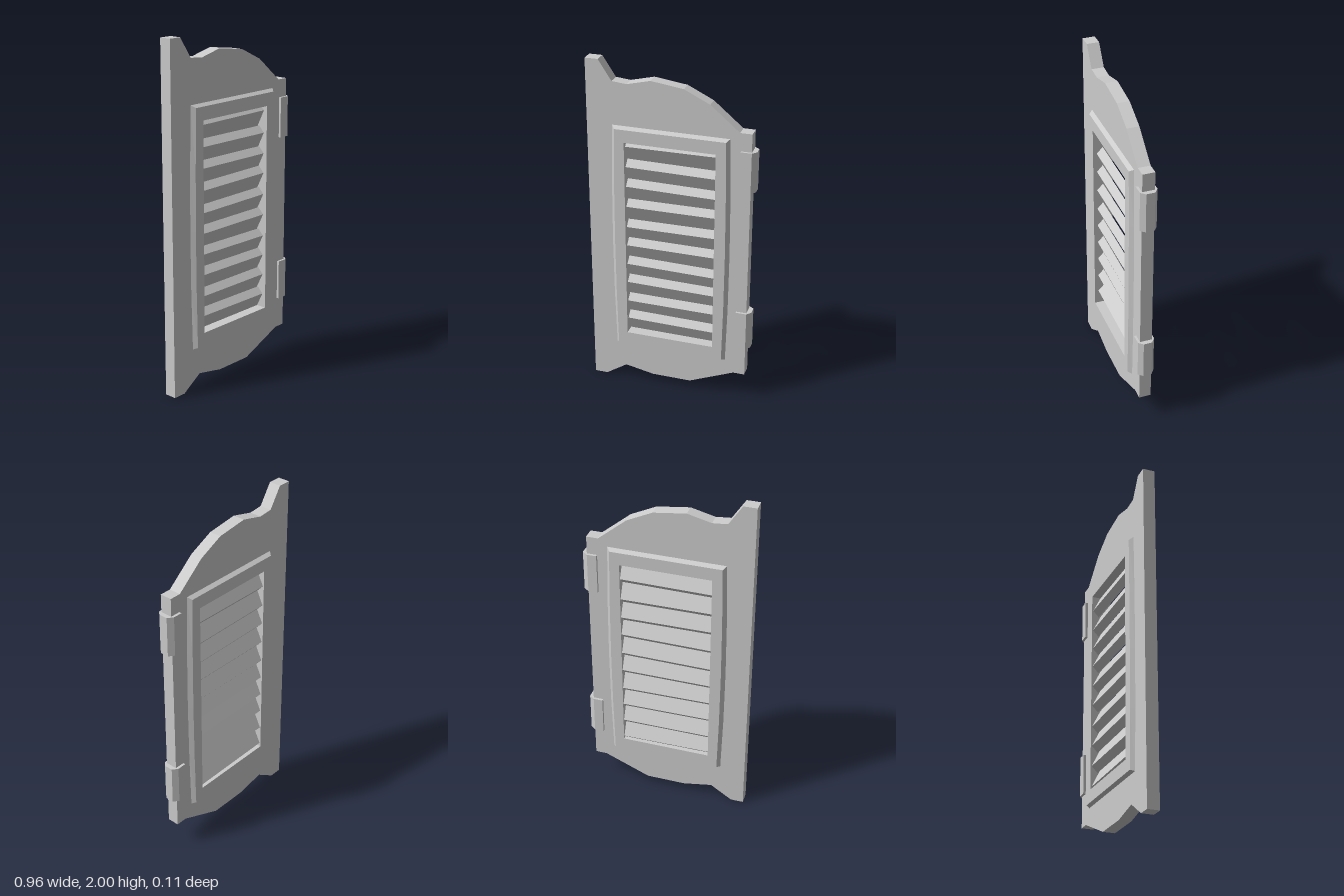
import * as THREE from 'three';

const material = new THREE.MeshStandardMaterial({ color: 0xcccccc, flatShading: true });

const toShape = (pts) => new THREE.Shape(pts.map(([x, y]) => new THREE.Vector2(x, y)));

function addMesh(parent, geometry, name) {
  const mesh = new THREE.Mesh(geometry, material);
  mesh.name = name;
  parent.add(mesh);
  return mesh;
}

const extrude = (shape, depth) => new THREE.ExtrudeGeometry(shape, { depth, bevelEnabled: false });

// Counter-clockwise loop whose long sides bow outwards by `bow`
function bowedLoop(halfWidth, bottom, top, bow, z) {
  const steps = 4;
  const loop = [];
  for (const side of [1, -1]) {
    for (let i = 0; i <= steps; i++) {
      const t = i / steps;
      const y = side > 0 ? bottom + (top - bottom) * t : top + (bottom - top) * t;
      loop.push([side * (halfWidth + bow * 4 * t * (1 - t)), y, z]);
    }
  }
  return loop;
}

// Skins a closed chain of loops into a ring-shaped solid
function ringGeometry(loops) {
  const n = loops[0].length;
  const index = [];
  loops.forEach((_, l) => {
    const next = (l + 1) % loops.length;
    for (let i = 0; i < n; i++) {
      const j = (i + 1) % n;
      const a = l * n + i, b = l * n + j, c = next * n + j, d = next * n + i;
      index.push(a, b, c, a, c, d);
    }
  });
  const geometry = new THREE.BufferGeometry();
  geometry.setAttribute('position', new THREE.Float32BufferAttribute(loops.flat(2), 3));
  geometry.setIndex(index);
  const flat = geometry.toNonIndexed();
  flat.computeVertexNormals();
  return flat;
}

export function createModel() {
  const door = new THREE.Group();
  door.name = 'saloonDoor';

  // Panel with a scalloped top and bottom and a window for the louvres
  const panel = toShape([
    [-0.48, 0], [-0.405, 0], [-0.28, 0.083], [-0.11, 0.05], [0.12, 0.05], [0.385, 0.163],
    [0.452, 0.163], [0.452, 1.677], [0.385, 1.677], [0.22, 1.815], [0.075, 1.885],
    [-0.11, 1.91], [-0.245, 1.877], [-0.33, 1.885], [-0.405, 2], [-0.48, 2],
  ]);
  panel.holes.push(toShape([[-0.28, 0.31], [-0.28, 1.565], [0.28, 1.565], [0.28, 0.31]]));
  addMesh(door, extrude(panel, 0.07), 'panel').position.z = -0.035;

  // Bevelled frame standing proud on both faces
  const frame = ringGeometry([
    bowedLoop(0.333, 0.245, 1.635, 0.012, -0.035),
    bowedLoop(0.333, 0.245, 1.635, 0.012, 0.035),
    bowedLoop(0.315, 0.255, 1.62, 0.009, 0.057),
    bowedLoop(0.26, 0.33, 1.545, 0, 0.057),
    bowedLoop(0.26, 0.33, 1.545, 0, -0.057),
    bowedLoop(0.315, 0.255, 1.62, 0.009, -0.057),
  ]);
  addMesh(door, frame, 'frame');

  // Slanted, overlapping louvres, each hung slightly out of true: [top height, tilt]
  const slatSection = toShape([[0, 0], [-0.05, -0.103], [-0.015, -0.14], [0.035, -0.037]]);
  const slat = extrude(slatSection, 0.54).translate(0, 0, -0.27).rotateY(-Math.PI / 2);
  const slats = new THREE.Group();
  slats.name = 'louvres';
  door.add(slats);
  [
    [1.553, 0.008], [1.427, -0.008], [1.307, -0.01], [1.187, 0.008], [1.06, 0.01],
    [0.94, 0], [0.815, -0.016], [0.696, -0.012], [0.573, -0.003], [0.453, -0.012],
  ].forEach(([y, tilt], i) => {
    const mesh = addMesh(slats, slat, `louvre${i + 1}`);
    mesh.position.y = y;
    mesh.rotation.z = tilt;
  });

  // Chamfered hinges wrapped round the left edge
  const hingeSection = toShape([
    [0.393, -0.048], [0.455, -0.048], [0.478, -0.022], [0.478, 0.027], [0.447, 0.05], [0.393, 0.05],
  ]);
  const hinge = extrude(hingeSection, 0.234).rotateX(-Math.PI / 2);
  addMesh(door, hinge, 'upperHinge').position.y = 1.339;
  addMesh(door, hinge, 'lowerHinge').position.y = 0.348;

  return door;
}
